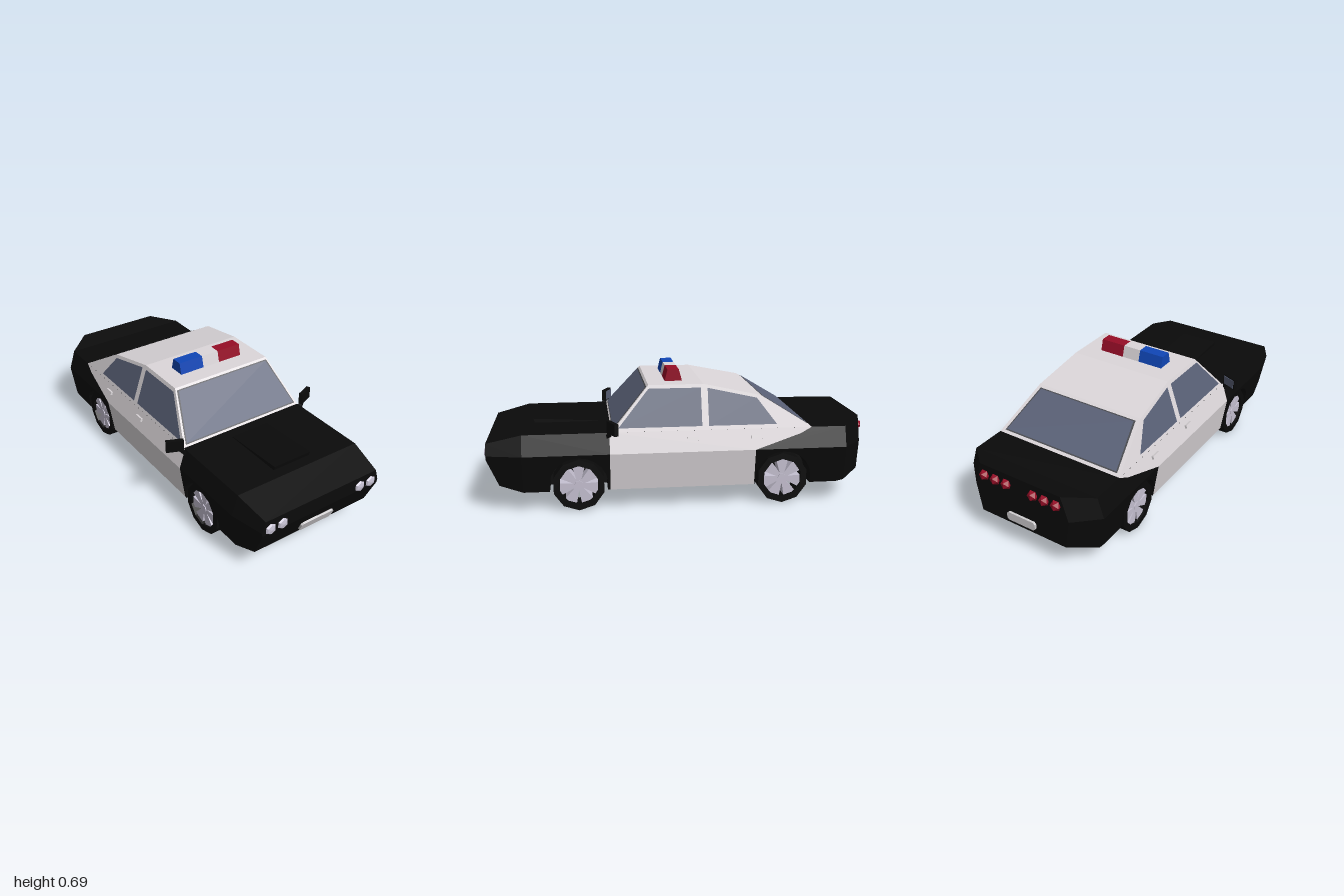
import * as THREE from 'three';

const paint = (name, color) => new THREE.MeshStandardMaterial({ name, color, side: THREE.DoubleSide });

export function createModel() {
  const car = new THREE.Group();
  car.name = 'patrolCar';
  const black = paint('blackPaint', 0x0a0a0a);
  const white = paint('whitePaint', 0xdcd7da);
  const glass = paint('glass', 0x5a6177);
  const trim = paint('windowTrim', 0x4a4b50);
  const silver = paint('silver', 0xc6c1d2);
  const plateGrey = paint('plateGrey', 0xcfcdcf);
  const red = paint('redLens', 0x960d26);
  const blue = paint('blueLens', 0x1046b6);

  const add = (name, geo, mat, parent = car) => {
    if (geo.index) geo = geo.toNonIndexed();
    geo.computeVertexNormals(); // faceted
    const mesh = new THREE.Mesh(geo, mat);
    mesh.name = name;
    parent.add(mesh);
    return mesh;
  };
  const surface = (name, tris, mat) => {
    const geo = new THREE.BufferGeometry();
    geo.setAttribute('position', new THREE.Float32BufferAttribute(tris.flat(), 3));
    return add(name, geo, mat);
  };

  // Half width of the body and of the cabin at a given height and depth
  const bodyWidth = (z, y) => {
    const w = y <= 0.3 ? 0.37 + (y - 0.105) * 0.154 : 0.4 - (y - 0.3) * 0.32;
    return w - Math.max(0, z - 0.81) * 0.22 - Math.max(0, -0.86 - z) * 1.09;
  };
  const cabinWidth = (z, y) => 0.366 - (y - 0.405) * 0.338;

  // Flat side panel from a (z, y) outline, made on both sides
  const panels = (name, outline, width, mat) => {
    const flat = outline.map(([z, y]) => new THREE.Vector2(z, y));
    const faces = THREE.ShapeUtils.triangulateShape(flat, []);
    for (const s of [1, -1]) {
      const tris = [];
      for (const f of faces) {
        const [a, b, c] = f.map(i => flat[i]);
        const ccw = (b.x - a.x) * (c.y - a.y) - (b.y - a.y) * (c.x - a.x) > 0;
        const order = ccw === (s < 0) ? [a, b, c] : [a, c, b];
        for (const p of order) tris.push([s * width(p.x, p.y), p.y, p.x]);
      }
      surface(name + (s > 0 ? 'Left' : 'Right'), tris, mat);
    }
  };
  // Strip across the car through [z, y, optional half width], running front to back over the top
  const strip = (name, path, width, mat) => {
    const tris = [];
    for (let i = 0; i + 1 < path.length; i++) {
      const [[z0, y0, w0 = width(z0, y0)], [z1, y1, w1 = width(z1, y1)]] = [path[i], path[i + 1]];
      const a = [-w0, y0, z0], b = [w0, y0, z0], c = [w1, y1, z1], d = [-w1, y1, z1];
      tris.push(a, b, c, a, c, d);
    }
    return surface(name, tris, mat);
  };
  // Solid with a (z, y) outline reaching from x0 to x1
  const prism = (name, outline, x0, x1, mat) => {
    const shape = new THREE.Shape(outline.map(p => new THREE.Vector2(...p)));
    const geo = new THREE.ExtrudeGeometry(shape, { depth: x1 - x0, bevelEnabled: false });
    add(name, geo.rotateY(-Math.PI / 2).translate(x1, 0, 0), mat);
  };

  // Wheel arch outline, rear end to front end
  const axles = [0.53, -0.53];
  const arch = zc => Array.from({ length: 13 }, (_, i) => {
    const a = Math.PI + 0.2 - (i / 12) * (Math.PI + 0.4);
    return [zc + 0.15 * Math.cos(a), 0.135 + 0.15 * Math.sin(a)];
  });

  // Hood, trunk, nose and tail
  strip('hoodAndTrunk', [[0.99, 0.36], [0.81, 0.405], [0.37, 0.405], [-0.68, 0.405],
    [-0.86, 0.405], [-0.97, 0.43]], bodyWidth, black);
  strip('tail', [[-0.97, 0.43], [-0.97, 0.3], [-0.97, 0.14], [-0.86, 0.114], [-0.82, 0.105]], bodyWidth, black);
  strip('nose', [[0.81, 0.105], [0.93, 0.14], [0.99, 0.28], [0.99, 0.3], [0.99, 0.36]], bodyWidth, black);
  // Floor, narrowed between the wheels
  const e = 0.147;
  strip('floor', [[-0.82, 0.105], [-0.53 - e, 0.105], [-0.53 - e, 0.105, 0.25], [-0.53 + e, 0.105, 0.25],
    [-0.53 + e, 0.105], [0.53 - e, 0.105], [0.53 - e, 0.105, 0.25], [0.53 + e, 0.105, 0.25],
    [0.53 + e, 0.105], [0.81, 0.105]], bodyWidth, black);

  // Body sides
  panels('frontFender', [[0.37, 0.105], ...arch(0.53), [0.81, 0.105], [0.81, 0.3], [0.37, 0.3]], bodyWidth, black);
  panels('frontFenderTop', [[0.37, 0.3], [0.81, 0.3], [0.81, 0.405], [0.37, 0.405]], bodyWidth, black);
  panels('noseSide', [[0.81, 0.105], [0.93, 0.14], [0.99, 0.28], [0.99, 0.3], [0.81, 0.3]], bodyWidth, black);
  panels('noseSideTop', [[0.81, 0.3], [0.99, 0.3], [0.99, 0.36], [0.81, 0.405]], bodyWidth, black);
  panels('doorsLower', [[-0.38, 0.105], [0.37, 0.105], [0.37, 0.3], [-0.38, 0.3]], bodyWidth, white);
  panels('doorsUpper', [[-0.38, 0.3], [0.37, 0.3], [0.37, 0.405], [-0.68, 0.405], [-0.62, 0.375]], bodyWidth, white);
  panels('rearFender', [[-0.86, 0.114], [-0.82, 0.105], ...arch(-0.53), [-0.38, 0.105], [-0.38, 0.3],
    [-0.86, 0.3]], bodyWidth, black);
  panels('rearFenderTop', [[-0.38, 0.3], [-0.62, 0.375], [-0.68, 0.405], [-0.86, 0.405], [-0.86, 0.3]], bodyWidth, black);
  panels('tailSide', [[-0.86, 0.114], [-0.97, 0.14], [-0.97, 0.3], [-0.86, 0.3]], bodyWidth, black);
  panels('tailSideTop', [[-0.86, 0.3], [-0.97, 0.3], [-0.97, 0.43], [-0.86, 0.405]], bodyWidth, black);
  prism('hoodScoop', [[0.75, 0.39], [0.76, 0.427], [0.42, 0.408], [0.42, 0.39]], -0.11, 0.11, black);

  // Cabin shell
  const roofLine = [[0.36, 0.405], [0.165, 0.63], [-0.12, 0.63], [-0.41, 0.57], [-0.68, 0.405]];
  strip('roofAndPillars', roofLine, cabinWidth, white);
  panels('cabinSide', roofLine, cabinWidth, white);

  // Windows as thin plates with a dark trim beneath
  const windowPlate = (name, path, dz, dy, grow) => {
    const shift = k => path.map(([z, y, w]) => [z + dz * k, y + dy * k, w]);
    strip(name, shift(0.004), null, glass);
    const [a, b] = shift(0.002);
    const uz = (b[0] - a[0]) * grow, uy = (b[1] - a[1]) * grow;
    strip(name + 'Trim', [[a[0] - uz, a[1] - uy, a[2] + 0.008], [b[0] + uz, b[1] + uy, b[2] + 0.008]], null, trim);
  };
  windowPlate('windshield', [[0.348, 0.419, 0.343], [0.178, 0.615, 0.277]], 0.756, 0.655, 0.025);
  windowPlate('rearWindow', [[-0.432, 0.5565, 0.285], [-0.66, 0.417, 0.335]], -0.52, 0.85, 0.025);
  const outside = k => (z, y) => cabinWidth(z, y) + k;
  panels('frontSideWindow', [[0.325, 0.425], [0.165, 0.613], [-0.105, 0.613], [-0.105, 0.425]], outside(0.004), glass);
  panels('rearSideWindow', [[-0.14, 0.425], [-0.14, 0.611], [-0.395, 0.557], [-0.495, 0.425]], outside(0.004), glass);

  // Roof light bar
  const bar = [[0.07, 0.628], [0.055, 0.69], [-0.005, 0.69], [-0.022, 0.628]];
  prism('blueLight', bar, -0.19, -0.05, blue);
  prism('lightBarCentre', bar, -0.05, 0.05, white);
  prism('redLight', bar, 0.05, 0.19, red);

  // Licence plates with clipped corners
  const licencePlate = (name, w, h, y, z, turn) => {
    const s = new THREE.Shape([[-w + 0.01, -h], [w - 0.01, -h], [w, -h + 0.01], [w, h - 0.01],
      [w - 0.01, h], [-w + 0.01, h], [-w, h - 0.01], [-w, -h + 0.01]].map(p => new THREE.Vector2(...p)));
    const geo = new THREE.ExtrudeGeometry(s, { depth: 0.012, bevelEnabled: false });
    const mesh = add(name, geo, plateGrey);
    mesh.position.set(0, y, z);
    mesh.rotation.set(...turn);
  };
  licencePlate('frontPlate', 0.1, 0.03, 0.192, 0.951, [0.405, 0, 0]);
  licencePlate('rearPlate', 0.085, 0.023, 0.19, -0.971, [0, Math.PI, 0]);

  for (const s of [1, -1]) {
    // Headlights and tail lights
    for (const x of [0.24, 0.31]) {
      const lamp = new THREE.SphereGeometry(0.034, 6, 4).rotateX(Math.PI / 2).rotateZ(Math.PI / 6).scale(1, 1, 0.45);
      add('headlight', lamp, silver).position.set(s * x, 0.306, 0.987);
    }
    for (const x of [0.08, 0.147, 0.214]) {
      add('tailLight', new THREE.IcosahedronGeometry(0.029, 0), red).position.set(s * x, 0.373, -0.971);
    }
    // Door handles
    for (const z of [-0.055, -0.385]) {
      const handle = add('doorHandle', new THREE.BoxGeometry(0.016, 0.018, 0.055), white);
      handle.position.set(s * 0.383, 0.365, z);
      handle.rotation.z = s * 0.31;
    }
    // Wing mirrors
    const mirror = new THREE.Group();
    mirror.name = 'wingMirror';
    mirror.position.set(s * 0.418, 0.439, 0.356);
    mirror.rotation.y = s * 0.4;
    add('mirrorShell', new THREE.BoxGeometry(0.09, 0.062, 0.022), black, mirror);
    add('mirrorGlass', new THREE.BoxGeometry(0.076, 0.048, 0.004), glass, mirror).position.z = -0.012;
    const stalk = add('mirrorStalk', new THREE.BoxGeometry(0.05, 0.016, 0.02), black, mirror);
    stalk.position.set(s * -0.04, -0.04, 0);
    stalk.rotation.z = s * 0.8;
    car.add(mirror);

    for (const zc of axles) {
      // Arch liner
      const curve = arch(zc), tris = [];
      for (let i = 0; i + 1 < curve.length; i++) {
        const [[z0, y0], [z1, y1]] = [curve[i], curve[i + 1]];
        const a = [s * 0.25, y0, z0], b = [s * bodyWidth(z0, y0), y0, z0];
        const c = [s * bodyWidth(z1, y1), y1, z1], d = [s * 0.25, y1, z1];
        tris.push(a, b, c, a, c, d);
      }
      surface('archLiner', tris, black);

      // Wheel: tyre ring, wedge spokes and hub
      const wheel = new THREE.Group();
      wheel.name = 'wheel';
      wheel.position.set(s * 0.322, 0.135, zc);
      const ring = [[0.102, -0.052], [0.135, -0.052], [0.135, 0.052], [0.102, 0.052], [0.102, -0.052]];
      const tyre = new THREE.LatheGeometry(ring.map(p => new THREE.Vector2(...p)), 10);
      add('tyre', tyre.rotateZ(Math.PI / 2).rotateX(Math.PI / 10), black, wheel);
      for (let i = 0; i < 7; i++) {
        const wedge = new THREE.Shape([[-0.008, 0.01], [0.008, 0.01], [0.032, 0.096], [0, 0.102], [-0.032, 0.096]]
          .map(p => new THREE.Vector2(...p)));
        const spoke = new THREE.ExtrudeGeometry(wedge, { depth: 0.08, bevelEnabled: false });
        spoke.translate(0, 0, -0.04).rotateZ((i / 7) * Math.PI * 2).rotateY(Math.PI / 2);
        add('spoke', spoke, silver, wheel);
      }
      add('hub', new THREE.CylinderGeometry(0.022, 0.022, 0.09, 7).rotateZ(Math.PI / 2), silver, wheel);
      car.add(wheel);
    }
  }
  for (const zc of axles) panels('archWall', arch(zc), () => 0.25, black);
  return car;
}
